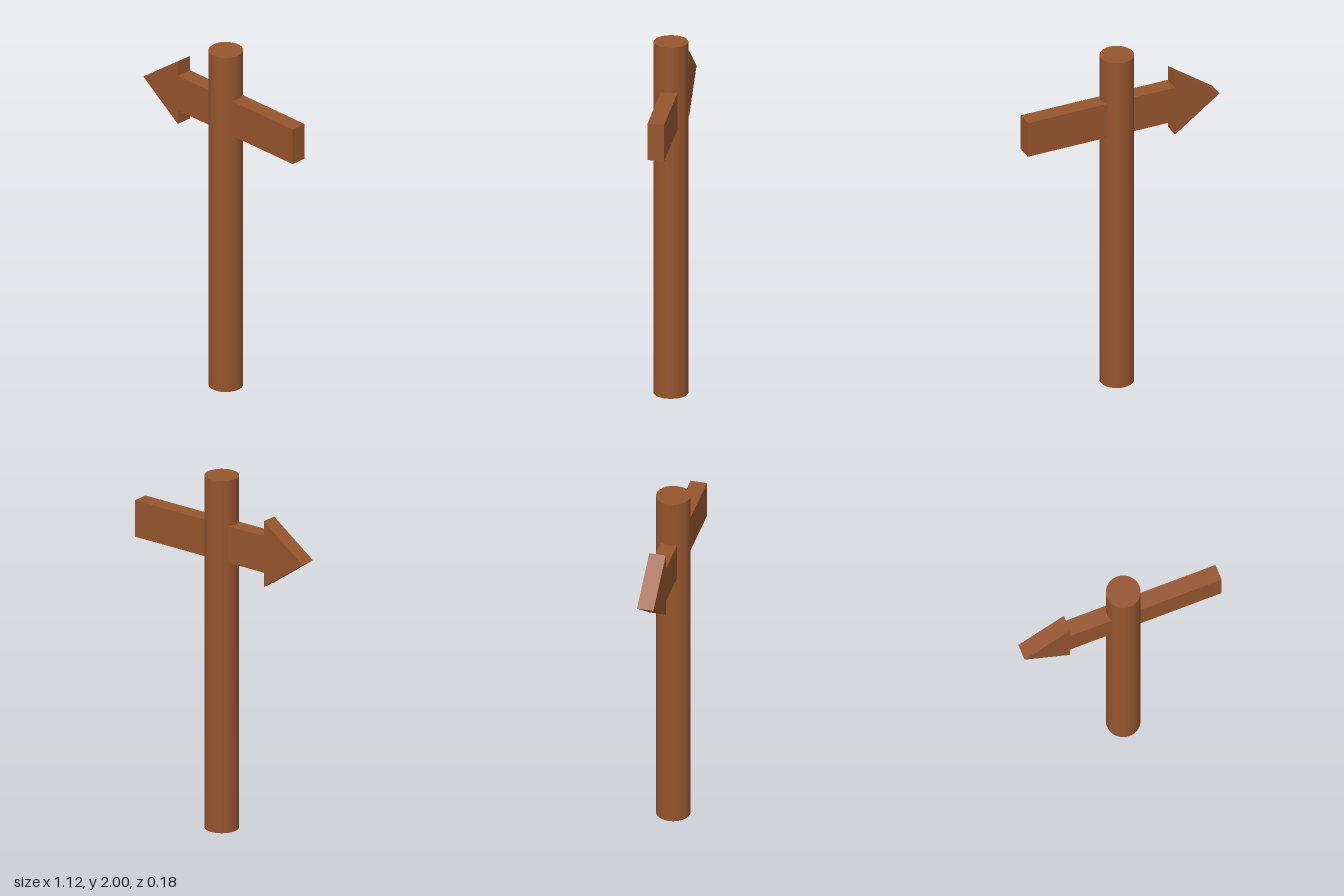
import * as THREE from 'three';

export function createModel() {
  const group = new THREE.Group();
  const wood = new THREE.MeshStandardMaterial({ color: 0x96552e });
  wood.name = 'brown wood';

  // Round upright post
  const post = new THREE.Mesh(new THREE.CylinderGeometry(0.092, 0.092, 2, 48), wood);
  post.name = 'post';
  post.position.set(0.017, 1, 0);
  group.add(post);

  // Arrow-shaped board passing through the post, pointing to -x
  const outline = new THREE.Shape([
    [-0.562, 1.64], [-0.302, 1.453], [-0.302, 1.535], [0.562, 1.535],
    [0.562, 1.742], [-0.302, 1.742], [-0.302, 1.827],
  ].map(([x, y]) => new THREE.Vector2(x, y)));
  const board = new THREE.Mesh(
    new THREE.ExtrudeGeometry(outline, { depth: 0.09, bevelEnabled: false }), wood);
  board.name = 'arrowBoard';
  board.position.z = -0.048;
  group.add(board);

  return group;
}
